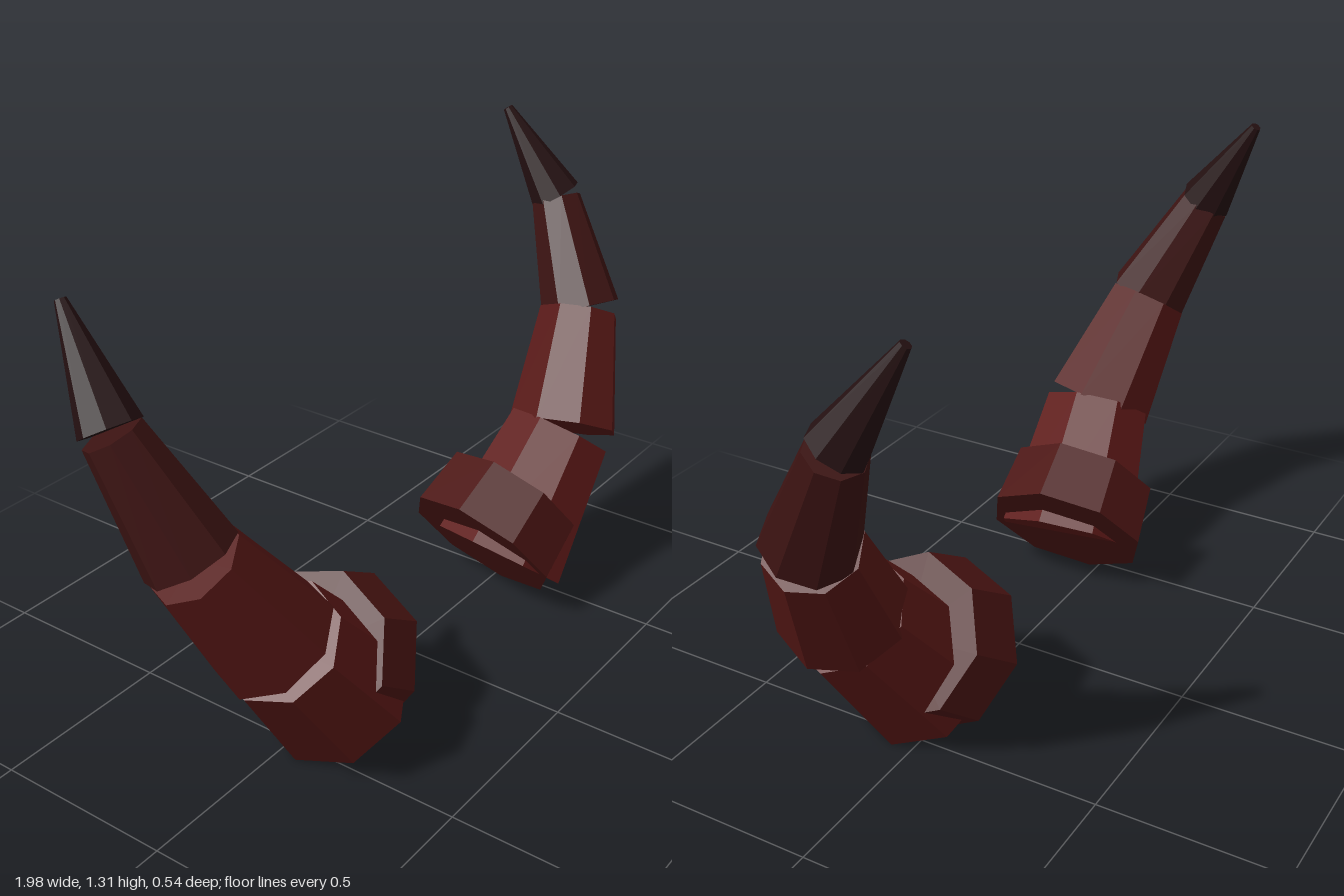
import * as THREE from 'three';

// Each horn is a chain of tapered eight-sided segments:
// name, start point, end point, start radius, end radius, colour
const SEGMENTS = [
  ['rootCollar', [0.335, 0.185, 0.035], [0.475, 0.287, 0.052], 0.23, 0.215, 0x4c1513],
  ['lowerSegment', [0.395, 0.127, 0.063], [0.648, 0.439, 0.1], 0.205, 0.16, 0x5e1917],
  ['middleSegment', [0.663, 0.45, 0.1], [0.842, 0.737, 0.035], 0.163, 0.118, 0x561715],
  ['upperSegment', [0.85, 0.748, 0.036], [0.918, 1.04, -0.102], 0.118, 0.073, 0x3c1312],
  ['tip', [0.918, 1.05, -0.105], [0.882, 1.297, -0.257], 0.075, 0.014, 0x241011],
];

const UP = new THREE.Vector3(0, 1, 0);

// Tapered low-poly cylinder running from one point to another
function taperedSegment([name, from, to, r0, r1, color], side) {
  const a = new THREE.Vector3(from[0] * side, from[1], from[2]);
  const b = new THREE.Vector3(to[0] * side, to[1], to[2]);
  const axis = b.clone().sub(a);
  const mesh = new THREE.Mesh(
    new THREE.CylinderGeometry(r1, r0, axis.length(), 8),
    new THREE.MeshStandardMaterial({ color, flatShading: true })
  );
  mesh.name = name;
  mesh.position.copy(a).add(b).multiplyScalar(0.5);
  mesh.quaternion.setFromUnitVectors(UP, axis.normalize());
  return mesh;
}

export function createModel() {
  const model = new THREE.Group();
  model.name = 'horns';
  // Mirrored pair of horns
  for (const [name, side] of [['leftHorn', 1], ['rightHorn', -1]]) {
    const horn = new THREE.Group();
    horn.name = name;
    for (const segment of SEGMENTS) horn.add(taperedSegment(segment, side));
    model.add(horn);
  }
  return model;
}
